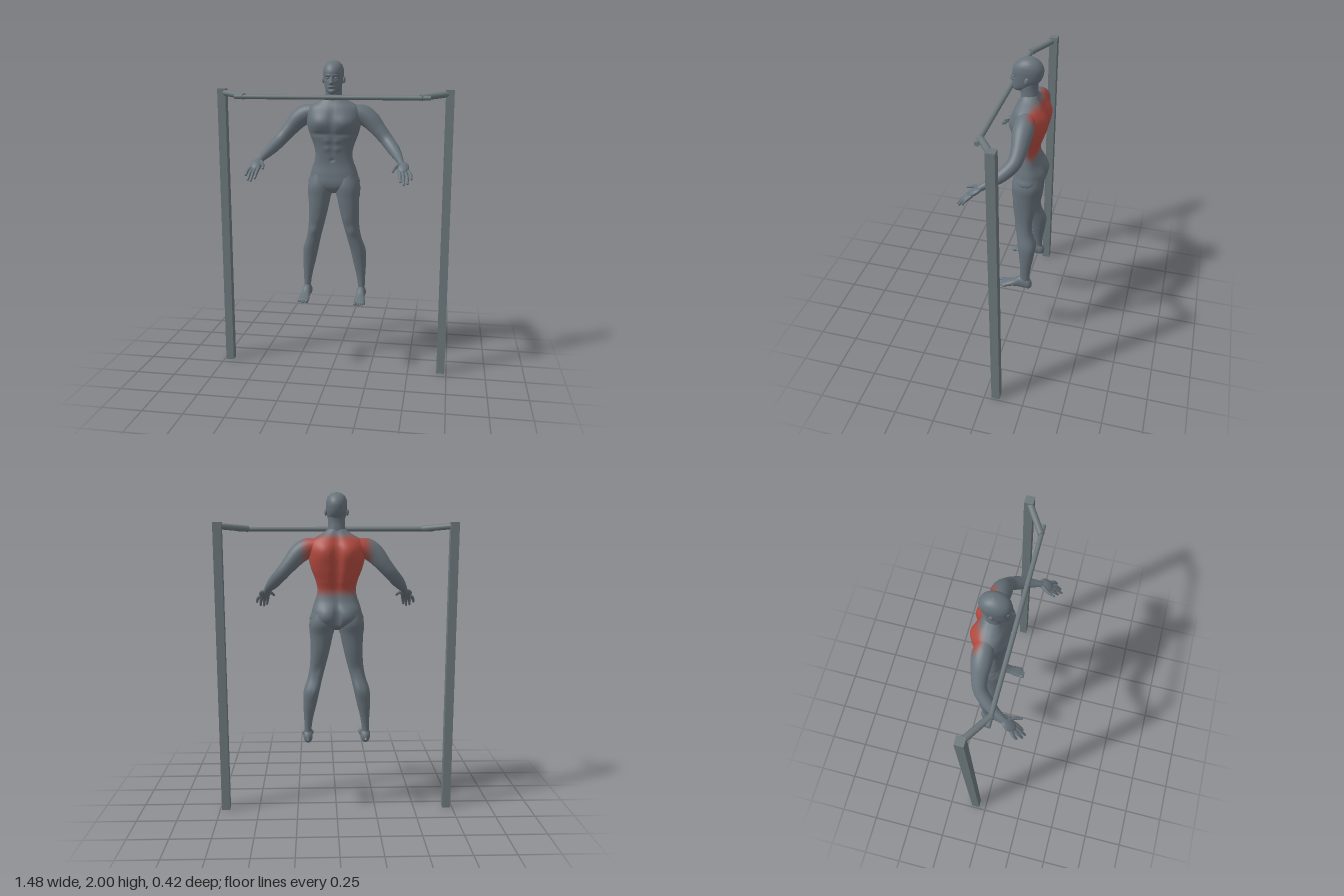
import * as THREE from 'three';

const mat = (name, color) => {
  const m = new THREE.MeshStandardMaterial({ color });
  m.name = name;
  return m;
};
const frameMat = mat('steel grey', 0x6c777b);
// skin grey blending in steps to the red of the worked back muscles
const skins = [0x67727a, 0x776a6e, 0x866263, 0x955a57, 0xa4524b, 0xb34a40]
  .map((c, i) => mat(i ? `muscle red ${i}` : 'skin grey', c));
const skin = skins[0];
const V = (a) => new THREE.Vector3(...a);
const smooth = THREE.MathUtils.smoothstep;

// Smooth loft upward through sections [y, centreX, halfWidth, zFront, zBack].
// bumps: [side (1 front, -1 back), x, y, radiusX, radiusY, amount]
function loft(sections, { rows = 40, n = 40, e = 0.9, bumps = [], mirrorBumps = false, from, to, grow = 0 } = {}) {
  const s = [...sections].sort((a, b) => a[0] - b[0]);
  const at = new THREE.CubicInterpolant(s.map((r) => r[0]), s.flatMap((r) => r.slice(1)), 4, new Array(4));
  const y0 = from ?? s[0][0], y1 = to ?? s[s.length - 1][0];
  const pos = [], index = [];
  const pw = (v) => Math.sign(v) * Math.abs(v) ** e;
  for (let i = 0; i <= rows; i++) {
    const y = y0 + (y1 - y0) * i / rows;
    const [cx, hw, zf, zb] = at.evaluate(y);
    for (let j = 0; j < n; j++) {
      const a = j / n * Math.PI * 2, sin = Math.sin(a);
      const dx = (Math.max(hw, 0.0005) + grow) * pw(Math.cos(a));
      let z = (zf + zb) / 2 + ((zf - zb) / 2 + grow) * pw(sin);
      const bx = mirrorBumps ? Math.abs(dx) : dx;
      for (const [side, x, by, rx, ry, amt] of bumps) {
        if (side * sin > 0) z += side * amt * Math.min(1, Math.abs(sin) * 1.5) * Math.exp(-(((bx - x) / rx) ** 2) - ((y - by) / ry) ** 2);
      }
      pos.push(cx + dx, y, z);
      if (i < rows) {
        const p = i * n + j, q = i * n + (j + 1) % n;
        index.push(p, p + n, q, q, p + n, q + n);
      }
    }
  }
  const g = new THREE.BufferGeometry();
  g.setAttribute('position', new THREE.Float32BufferAttribute(pos, 3));
  g.setIndex(index);
  g.computeVertexNormals();
  return g;
}

// Tube through points [x, y, z, radius]
function limb(points, rows = 24, sides = 20) {
  const curve = new THREE.CatmullRomCurve3(points.map((p) => V(p)));
  const g = new THREE.TubeGeometry(curve, rows, 1, sides);
  const at = new THREE.CubicInterpolant(points.map((_, i) => i / (points.length - 1)), points.map((p) => p[3]), 1, [0]);
  const p = g.attributes.position, v = new THREE.Vector3();
  for (let i = 0; i < p.count; i++) {
    const u = Math.floor(i / (sides + 1)) / rows, c = curve.getPointAt(u);
    const t = curve.getUtoTmapping(u);
    v.fromBufferAttribute(p, i).sub(c).multiplyScalar(Math.max(at.evaluate(t)[0], 0.0005)).add(c);
    p.setXYZ(i, v.x, v.y, v.z);
  }
  return g;
}

// Sorts triangles into colour groups: red on the back, fading at waist, shoulders and flanks
function paintBack(g) {
  const p = g.attributes.position, nr = g.attributes.normal, idx = g.index.array;
  const buckets = skins.map(() => []);
  for (let i = 0; i < idx.length; i += 3) {
    const tri = [idx[i], idx[i + 1], idx[i + 2]];
    const avg = (f) => (f(tri[0]) + f(tri[1]) + f(tri[2])) / 3;
    const x = Math.abs(avg((k) => p.getX(k))), y = avg((k) => p.getY(k)), nz = avg((k) => nr.getZ(k));
    const red = smooth(-nz, -0.05, 0.5) * smooth(y, 1.365, 1.45) * (1 - smooth(y, 1.71, 1.775)) * (1 - smooth(x, 0.15, 0.235));
    buckets[Math.round(red * (skins.length - 1))].push(...tri);
  }
  g.setIndex(buckets.flat());
  let start = 0;
  buckets.forEach((b, i) => { if (b.length) g.addGroup(start, b.length, i); start += b.length; });
  return g;
}

function mirrored(g) {
  const m = g.clone().scale(-1, 1, 1), a = m.index.array;
  for (let i = 0; i < a.length; i += 3) [a[i], a[i + 1]] = [a[i + 1], a[i]];
  const n = m.attributes.normal, src = g.attributes.normal;
  for (let i = 0; i < n.count; i++) n.setXYZ(i, -src.getX(i), src.getY(i), src.getZ(i));
  return m;
}

function rod(a, b, r) {
  const d = V(b).sub(V(a));
  const g = new THREE.CylinderGeometry(r, r, d.length(), 20);
  g.applyQuaternion(new THREE.Quaternion().setFromUnitVectors(V([0, 1, 0]), d.clone().normalize()));
  return g.translate(...V(a).addScaledVector(d, 0.5).toArray());
}
const ball = (c, r, tilt = 0) => new THREE.SphereGeometry(1, 20, 14).scale(...r).rotateX(tilt).translate(...c);

export function createModel() {
  const model = new THREE.Group();
  model.name = 'hangingBarExercise';
  const add = (name, g, m) => {
    const mesh = new THREE.Mesh(g, m);
    mesh.name = name;
    model.add(mesh);
  };
  const pair = (name, g, m = skin) => {
    add(`${name}Left`, g, m);
    add(`${name}Right`, mirrored(g), m);
  };

  // Bar frame
  pair('post', new THREE.BoxGeometry(0.052, 1.825, 0.052).translate(0.713, 0.9125, -0.072), frameMat);
  pair('barArm', rod([0.722, 1.803, -0.078], [0.54, 1.782, 0.038], 0.019), frameMat);
  add('bar', rod([-0.6, 1.78, 0.038], [0.6, 1.78, 0.038], 0.014), frameMat);

  // Torso
  const torso = [
    [1.175, 0, 0.02, -0.06, -0.12], [1.2, 0, 0.09, -0.03, -0.165], [1.23, 0, 0.153, -0.018, -0.183],
    [1.29, 0, 0.149, -0.02, -0.185], [1.36, 0, 0.129, -0.028, -0.16], [1.42, 0, 0.117, -0.025, -0.153],
    [1.48, 0, 0.128, -0.018, -0.172], [1.55, 0, 0.154, -0.005, -0.193], [1.62, 0, 0.17, 0.006, -0.202],
    [1.68, 0, 0.17, -0.004, -0.193], [1.72, 0, 0.15, -0.018, -0.175], [1.74, 0, 0.12, -0.03, -0.165],
    [1.76, 0, 0.085, -0.04, -0.152], [1.785, 0, 0.05, -0.05, -0.138],
  ];
  const muscles = [
    [1, 0.08, 1.62, 0.06, 0.05, 0.015], [1, 0, 1.63, 0.014, 0.07, -0.008], [1, 0.08, 1.553, 0.07, 0.014, -0.006],
    [1, 0, 1.47, 0.009, 0.08, -0.005], [1, 0, 1.39, 0.009, 0.01, -0.008],
    [1, 0.032, 1.51, 0.024, 0.018, 0.005], [1, 0.032, 1.46, 0.024, 0.018, 0.005],
    [-1, 0, 1.58, 0.024, 0.15, -0.024], [-1, 0.075, 1.66, 0.05, 0.06, 0.014],
    [-1, 0.065, 1.27, 0.05, 0.06, 0.016], [-1, 0, 1.25, 0.012, 0.07, -0.03],
  ];
  const body = { n: 80, e: 0.82, bumps: muscles, mirrorBumps: true };
  add('torso', paintBack(loft(torso, { ...body, rows: 110 })), skins);
  add('shortsHips', loft(torso, { ...body, rows: 40, from: 1.19, to: 1.362, grow: 0.003 }), skin);

  // Neck and head
  add('neck', loft([[1.73, 0, 0.062, -0.04, -0.145], [1.79, 0, 0.052, -0.038, -0.138],
    [1.83, 0, 0.05, -0.035, -0.135], [1.87, 0, 0.05, -0.04, -0.14]]), skin);
  add('head', loft([
    [1.797, 0, 0.008, -0.005, -0.04], [1.805, 0, 0.026, 0.006, -0.07], [1.82, 0, 0.041, 0.009, -0.1],
    [1.845, 0, 0.052, 0.008, -0.132], [1.87, 0, 0.058, 0.008, -0.153], [1.9, 0, 0.062, 0.009, -0.165],
    [1.935, 0, 0.063, 0.008, -0.167], [1.965, 0, 0.056, -0.008, -0.153], [1.985, 0, 0.041, -0.033, -0.13],
    [1.996, 0, 0.021, -0.06, -0.105], [2, 0, 0.0005, -0.082, -0.084],
  ], {
    rows: 80, n: 72, e: 0.95, mirrorBumps: true, bumps: [
      [1, 0, 1.864, 0.011, 0.01, 0.018], [1, 0, 1.882, 0.008, 0.016, 0.01], [1, 0.026, 1.893, 0.014, 0.009, -0.009],
      [1, 0.025, 1.909, 0.018, 0.006, 0.004], [1, 0, 1.842, 0.018, 0.006, 0.006], [1, 0, 1.828, 0.02, 0.006, -0.005],
    ],
  }), skin);
  pair('eye', ball([0.026, 1.893, -0.004], [0.011, 0.007, 0.008]));
  pair('ear', ball([0.064, 1.882, -0.085], [0.009, 0.021, 0.014], -0.2));

  // Legs
  const leg = [
    [1.3, 0.08, 0.06, -0.03, -0.175], [1.22, 0.088, 0.076, -0.013, -0.188], [1.155, 0.092, 0.071, -0.015, -0.172],
    [1.05, 0.102, 0.059, -0.022, -0.16], [0.95, 0.117, 0.049, -0.04, -0.146], [0.88, 0.133, 0.046, -0.05, -0.15],
    [0.8, 0.155, 0.049, -0.063, -0.174], [0.72, 0.166, 0.042, -0.075, -0.168], [0.62, 0.176, 0.028, -0.085, -0.152],
    [0.55, 0.18, 0.022, -0.085, -0.146], [0.495, 0.18, 0.024, -0.078, -0.152],
  ];
  pair('leg', loft(leg, {
    rows: 70, bumps: [[1, 0, 0.93, 0.025, 0.03, 0.008], [1, -0.02, 1.0, 0.025, 0.04, 0.005],
      [-1, 0, 0.93, 0.03, 0.04, -0.006], [-1, -0.022, 0.81, 0.02, 0.05, 0.006]],
  }));
  pair('shortsLeg', loft(leg, { rows: 16, from: 1.155, to: 1.28, grow: 0.003 }));

  // Feet: lofted heel to toe, then laid flat; heights enter as negatives
  pair('foot', loft([
    [-0.164, 0.18, 0.004, -0.485, -0.505], [-0.155, 0.18, 0.02, -0.472, -0.525], [-0.12, 0.18, 0.028, -0.468, -0.55],
    [-0.08, 0.18, 0.027, -0.469, -0.55], [-0.04, 0.181, 0.03, -0.471, -0.52], [0, 0.182, 0.036, -0.468, -0.502],
    [0.03, 0.183, 0.035, -0.468, -0.49], [0.04, 0.183, 0.026, -0.473, -0.485],
  ], { n: 28 }).rotateX(Math.PI / 2));
  for (let i = 0; i < 5; i++) {
    const r = i ? 0.0085 - i * 0.0004 : 0.012;
    pair(`toe${i + 1}`, ball([i ? 0.165 + i * 0.0125 : 0.157, 0.468 + r, 0.041 - i * i * 0.0015], [r, r, 0.02]));
  }

  // Arms and hands
  pair('arm', paintBack(limb([
    [0.12, 1.685, -0.105, 0.045], [0.175, 1.672, -0.105, 0.06], [0.225, 1.64, -0.103, 0.059], [0.285, 1.573, -0.1, 0.047],
    [0.335, 1.515, -0.085, 0.041], [0.38, 1.465, -0.035, 0.038], [0.41, 1.43, 0.015, 0.029],
    [0.43, 1.405, 0.06, 0.021], [0.44, 1.39, 0.085, 0.018],
  ], 70, 36)), skins);
  pair('palm', ball([0.451, 1.373, 0.11], [0.036, 0.018, 0.05], 0.6));
  const fingers = [
    [[0.43, 1.36, 0.13], [0.437, 1.33, 0.165], [0.442, 1.3, 0.185]],
    [[0.447, 1.355, 0.135], [0.458, 1.325, 0.175], [0.463, 1.287, 0.205]],
    [[0.462, 1.355, 0.13], [0.479, 1.325, 0.168], [0.484, 1.292, 0.193]],
    [[0.475, 1.36, 0.12], [0.498, 1.338, 0.148], [0.505, 1.315, 0.164]],
    [[0.43, 1.392, 0.085], [0.407, 1.376, 0.125], [0.395, 1.358, 0.168]],
  ];
  fingers.forEach(([a, b, c], i) => {
    pair(i < 4 ? `finger${i + 1}` : 'thumb', limb([[...a, 0.012], [...b, 0.01], [...c, 0.007]], 10, 12));
    pair(i < 4 ? `fingertip${i + 1}` : 'thumbTip', ball(c, [0.0075, 0.0075, 0.0075]));
  });
  return model;
}
